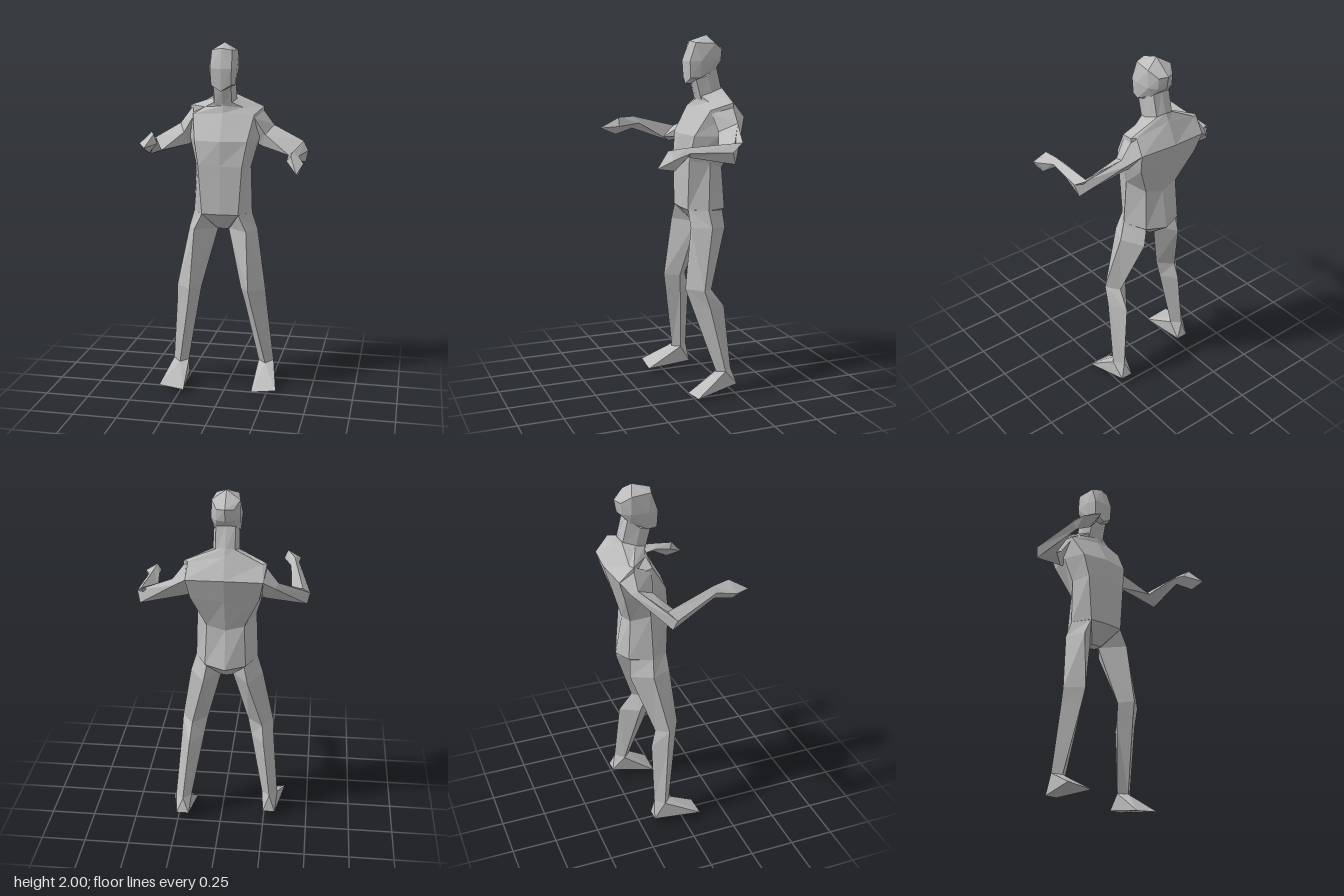
import * as THREE from 'three';
import { ConvexGeometry } from 'three/addons/geometries/ConvexGeometry.js';

const CX = -0.03; // body axis

// Joins rings of points into a closed, flat-faced skin, facing outward.
function loft(rings) {
  const tris = [], n = rings[0].length;
  for (let r = 0; r < rings.length - 1; r++) {
    for (let i = 0; i < n; i++) {
      const j = (i + 1) % n, a = rings[r], b = rings[r + 1];
      tris.push([a[i], a[j], b[j]], [a[i], b[j], b[i]]);
    }
  }
  const cap = (ring, flip) => {
    const c = [0, 1, 2].map(k => ring.reduce((s, p) => s + p[k], 0) / n);
    ring.forEach((p, i) => {
      const q = ring[(i + 1) % n];
      tris.push(flip ? [c, q, p] : [c, p, q]);
    });
  };
  cap(rings[0], true);
  cap(rings[rings.length - 1], false);
  const v = p => new THREE.Vector3(...p);
  let volume = 0;
  for (const [a, b, c] of tris) volume += v(a).dot(v(b).cross(v(c)));
  const pos = tris.flatMap(([a, b, c]) => (volume < 0 ? [a, c, b] : [a, b, c]).flat());
  const g = new THREE.BufferGeometry();
  g.setAttribute('position', new THREE.Float32BufferAttribute(pos, 3));
  g.computeVertexNormals();
  return g;
}

const hull = pts => new ConvexGeometry(pts.map(p => new THREE.Vector3(...p)));
const flipX = ([x, y, z]) => [-x, y, z];
// Both halves of a ring or point set; points on the axis are kept once.
const bothSides = half => [...half, ...half.filter(p => p[0] !== 0).reverse().map(flipX)];

export function createModel() {
  const model = new THREE.Group();
  const grey = new THREE.MeshStandardMaterial({ color: 0xbdbdbd, flatShading: true });
  grey.name = 'grey';
  const add = (name, geometry, x = CX) => {
    const mesh = new THREE.Mesh(geometry, grey);
    mesh.name = name;
    mesh.position.x = x;
    model.add(mesh);
  };

  // Torso: half rings run front centre, front, side, back, back centre
  const torso = [
    [[0, 0.945, -0.12], [0.03, 0.945, -0.12], [0.035, 0.945, -0.15], [0.03, 0.95, -0.18], [0, 0.95, -0.19]],
    [[0, 1.045, -0.022], [0.105, 1.045, -0.03], [0.17, 1.045, -0.13], [0.11, 1.04, -0.25], [0, 1.03, -0.29]],
    [[0, 1.32, -0.022], [0.125, 1.32, -0.03], [0.16, 1.31, -0.14], [0.1, 1.27, -0.235], [0, 1.25, -0.25]],
    [[0, 1.46, -0.025], [0.15, 1.46, -0.05], [0.2, 1.46, -0.17], [0.18, 1.45, -0.29], [0, 1.44, -0.305]],
    [[0, 1.61, -0.11], [0.175, 1.6, -0.135], [0.215, 1.59, -0.25], [0.2, 1.56, -0.323], [0, 1.57, -0.345]],
    [[0, 1.65, -0.12], [0.11, 1.64, -0.15], [0.215, 1.64, -0.25], [0.19, 1.64, -0.265], [0, 1.68, -0.285]],
    [[0, 1.66, -0.12], [0.05, 1.67, -0.13], [0.07, 1.69, -0.19], [0.05, 1.71, -0.255], [0, 1.72, -0.265]],
  ];
  add('torso', loft(torso.map(bothSides)));

  // Neck
  const neck = [
    [[0, 1.64, -0.125], [0.05, 1.65, -0.13], [0.07, 1.67, -0.19], [0.05, 1.69, -0.255], [0, 1.7, -0.265]],
    [[0, 1.745, -0.09], [0.05, 1.76, -0.1], [0.068, 1.78, -0.16], [0.05, 1.83, -0.22], [0, 1.83, -0.225]],
  ];
  add('neck', loft(neck.map(bothSides)));

  // Head
  add('head', hull(bothSides([
    [0, 2, -0.18], [0, 1.97, -0.08], [0.058, 1.96, -0.095], [0.073, 1.955, -0.205],
    [0, 1.925, -0.277], [0.045, 1.92, -0.255], [0, 1.86, -0.265], [0.045, 1.86, -0.25],
    [0.08, 1.86, -0.12], [0.076, 1.86, -0.21], [0.06, 1.86, -0.06], [0, 1.86, -0.05],
    [0.07, 1.77, -0.12], [0.056, 1.77, -0.065], [0, 1.735, -0.055], [0, 1.735, -0.09],
    [0.055, 1.81, -0.21],
  ])));

  // Legs: rings run front, outer, back, inner; each shin has its own slant
  const legs = [
    { side: 1, name: 'left', shin: -0.075, toe: 0, toeY: 0.005, heel: [0.055, -0.26] },
    { side: -1, name: 'right', shin: 0, toe: 0.1, toeY: 0.03, heel: [0.035, -0.17] },
  ];
  for (const { side, name, shin, toe, toeY, heel } of legs) {
    const place = pts => pts.map(([x, y, z]) => [side * x, y, z]);
    const hip = [
      [[0.105, 1.045, -0.032], [0.17, 1.045, -0.13], [0.1, 1.04, -0.24], [0.03, 0.945, -0.14]],
      [[0.15, 0.95, -0.03], [0.2, 0.95, -0.14], [0.12, 0.935, -0.25], [0.03, 0.945, -0.14]],
    ];
    const knee = [[0.17, 0.61, 0.01], [0.26, 0.61, -0.07], [0.2, 0.6, -0.135], [0.115, 0.61, -0.07]];
    const calf = [[0.183, 0.52, -0.005 + shin * 0.2], [0.265, 0.51, -0.08 + shin * 0.3],
      [0.21, 0.5, -0.16 + shin * 0.65], [0.135, 0.51, -0.08 + shin * 0.3]];
    const ankle = [[0.25, 0.13, -0.07 + shin], [0.295, 0.14, -0.11 + shin],
      [0.25, 0.14, -0.16 + shin], [0.205, 0.135, -0.11 + shin]];
    add(name + 'Thigh', loft([...hip, knee].map(place)));
    add(name + 'Shin', loft([knee, calf, ankle].map(place)));
    // Wedge foot
    add(name + 'Foot', hull(place([...ankle,
      [0.335, toeY + 0.012, toe - 0.005], [0.19, toeY - 0.005, toe],
      [0.285, ...heel], [0.215, ...heel]])));
  }

  // Arms: rings run top, outer, bottom, inner
  const upperArm = [
    [[0.2, 1.635, -0.25], [0.2, 1.56, -0.322], [0.19, 1.43, -0.2], [0.175, 1.585, -0.14]],
    [[0.275, 1.535, -0.25], [0.26, 1.515, -0.285], [0.215, 1.42, -0.19], [0.235, 1.49, -0.155]],
  ];
  const arms = [
    {
      side: 1, name: 'left',
      elbow: [[0.42, 1.455, -0.2], [0.455, 1.41, -0.13], [0.44, 1.345, -0.15], [0.353, 1.385, -0.09]],
      wrist: [[0.4, 1.44, 0.11], [0.43, 1.415, 0.097], [0.4, 1.39, 0.1], [0.372, 1.415, 0.1]],
      palm: [[0.4, 1.43, 0.21], [0.467, 1.39, 0.2], [0.44, 1.33, 0.19], [0.375, 1.4, 0.19]],
      tip: [0.44, 1.345, 0.285],
    },
    {
      side: -1, name: 'right',
      elbow: [[-0.43, 1.46, -0.14], [-0.47, 1.42, -0.1], [-0.455, 1.365, -0.12], [-0.37, 1.4, -0.05]],
      wrist: [[-0.375, 1.53, 0.13], [-0.4, 1.5, 0.14], [-0.375, 1.46, 0.14], [-0.357, 1.49, 0.1]],
      palm: [[-0.335, 1.53, 0.235], [-0.41, 1.48, 0.25], [-0.36, 1.43, 0.245], [-0.315, 1.48, 0.237]],
      tip: [-0.36, 1.47, 0.34],
    },
  ];
  for (const { side, name, elbow, wrist, palm, tip } of arms) {
    const shoulder = upperArm.map(r => r.map(([x, y, z]) => [CX + side * x, y, z]));
    add(name + 'UpperArm', loft([...shoulder, elbow]), 0);
    add(name + 'Forearm', loft([elbow, wrist]), 0);
    add(name + 'Hand', hull([...wrist, ...palm, tip]), 0);
  }
  return model;
}
